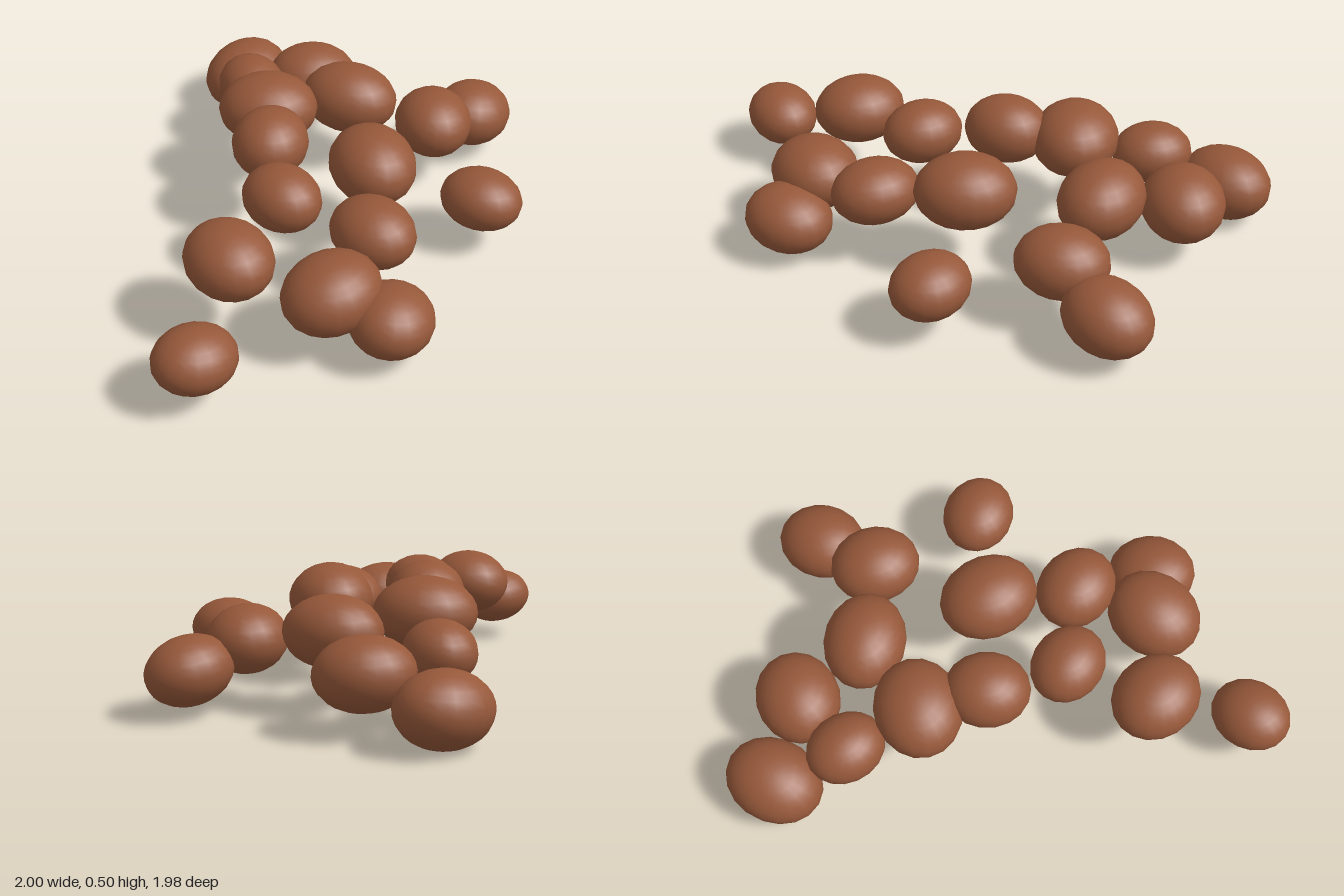
import * as THREE from 'three';

// One lump per row: centre x, y, z, half length, half height, half width, yaw, roll (degrees)
const LUMPS = [
  [0.21, 0.142, -0.828, 0.193, 0.138, 0.16, 20, 5],
  [0.087, 0.272, -0.563, 0.156, 0.115, 0.132, 80, 0],
  [0.375, 0.222, -0.557, 0.184, 0.135, 0.161, -20, -3],
  [-0.003, 0.352, -0.275, 0.193, 0.135, 0.168, -30, 0],
  [0.348, 0.305, -0.232, 0.192, 0.135, 0.158, -52, -3],
  [-0.13, 0.372, 0.042 - 0.084, 0.165, 0.128, 0.145, 48, 0],
  [0.58, 0.252, 0.022, 0.175, 0.128, 0.152, 58, -4],
  [0.828, 0.172, -0.045, 0.176, 0.127, 0.15, 25, -10],
  [0.152, 0.332, 0.23, 0.193, 0.138, 0.163, 73, -4],
  [-0.257, 0.352, 0.257, 0.158, 0.117, 0.136, -80, 0],
  [-0.568, 0.312, 0.42, 0.18, 0.128, 0.157, 88, 0],
  [-0.036, 0.282, 0.52, 0.171, 0.12, 0.146, -82, 3],
  [-0.31, 0.236, 0.68, 0.19, 0.134, 0.165, 10, 4],
  [-0.16, 0.156, 0.83, 0.172, 0.122, 0.153, 40, -8],
  [0.48, 0.203, 0.482, 0.158, 0.112, 0.139, -62, -3],
  [-0.845, 0.184, 0.677, 0.157, 0.112, 0.136, 10, -7],
];

export function createModel() {
  const group = new THREE.Group();
  group.name = 'lumpCluster';
  const brown = new THREE.MeshStandardMaterial({ color: 0x96583a });
  brown.name = 'brown';
  const ball = new THREE.SphereGeometry(1, 18, 14);

  // Smooth flattened lumps, turned about the vertical and then tipped sideways
  LUMPS.forEach(([x, y, z, length, height, width, yaw, roll], i) => {
    const lump = new THREE.Mesh(ball, brown);
    lump.name = `lump${i + 1}`;
    lump.position.set(x, y, z);
    lump.scale.set(length, height, width);
    lump.rotation.set(0, THREE.MathUtils.degToRad(yaw), THREE.MathUtils.degToRad(roll), 'ZYX');
    group.add(lump);
  });
  return group;
}
